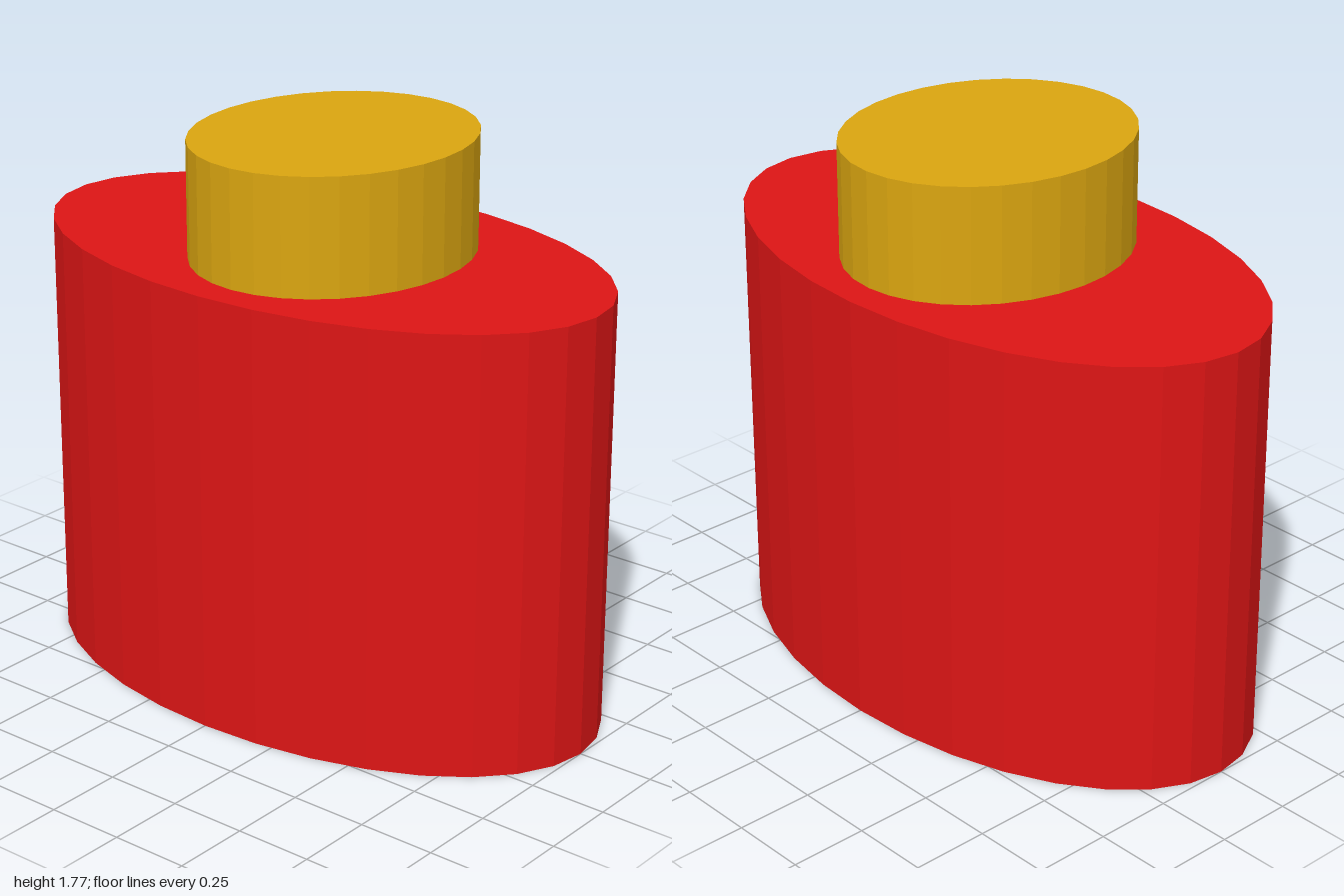
import * as THREE from 'three';

// Upright elliptical cylinder with flat facets, standing on height y
function ellipticDrum(name, color, rx, rz, height, x, y) {
  const geometry = new THREE.CylinderGeometry(1, 1, height, 32);
  geometry.scale(rx, 1, rz);
  const material = new THREE.MeshStandardMaterial({ color, flatShading: true });
  const mesh = new THREE.Mesh(geometry, material);
  mesh.name = name;
  mesh.position.set(x, y + height / 2, 0);
  return mesh;
}

export function createModel() {
  const group = new THREE.Group();
  group.name = 'bottle';
  const bodyHeight = 1.405;

  // Wide oval body
  group.add(ellipticDrum('body', 0xdd1515, 1, 0.583, bodyHeight, 0, 0));
  // Oval cap, slightly off centre
  group.add(ellipticDrum('cap', 0xdaa510, 0.417, 0.48, 0.37, 0.038, bodyHeight));

  return group;
}
